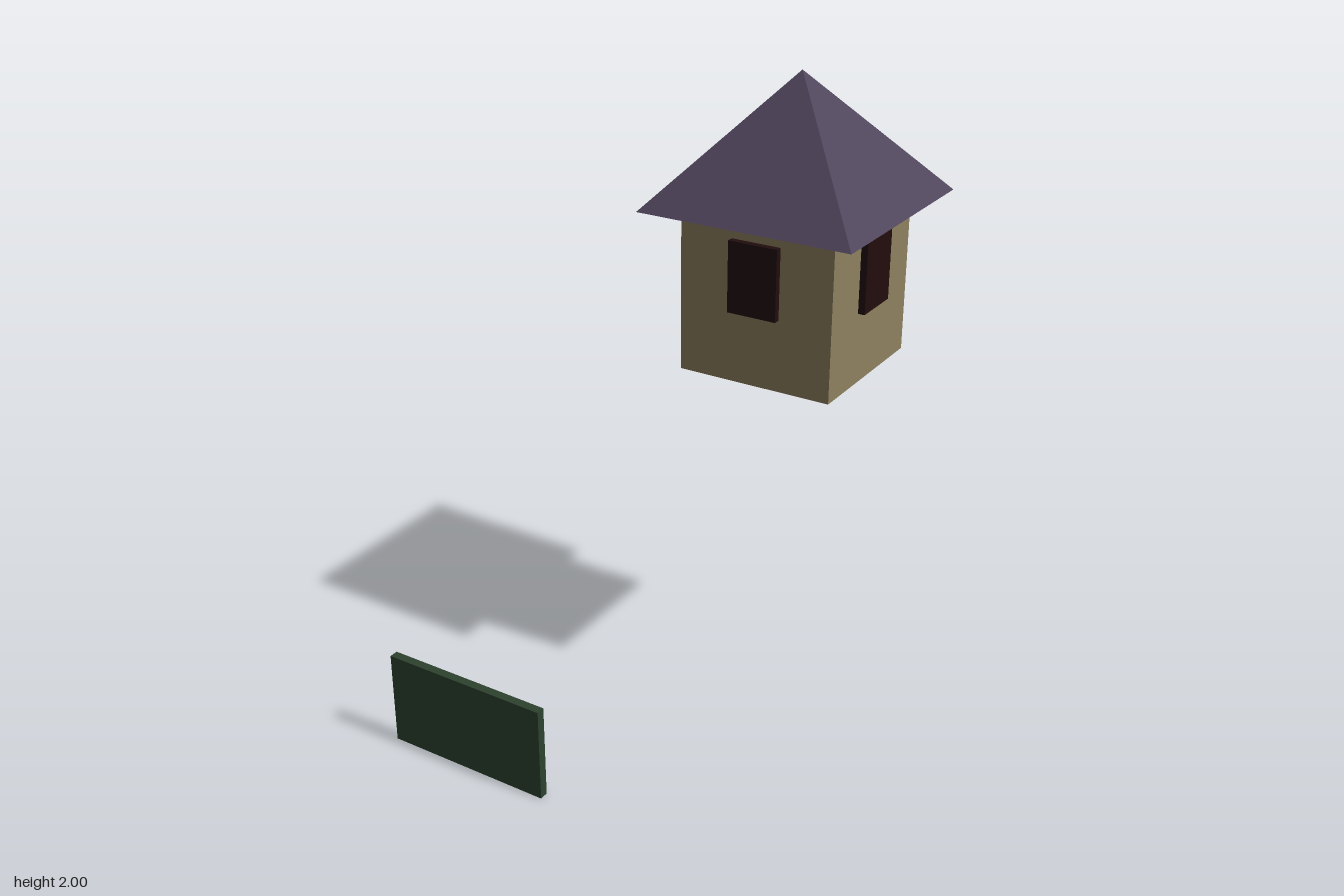
import * as THREE from 'three';

const material = (name, color) => {
  const m = new THREE.MeshStandardMaterial({ color });
  m.name = name;
  return m;
};

export function createModel() {
  const wall = material('tan wall', 0x8e8060);
  const roofPurple = material('purple roof', 0x50465c);
  const eaveGrey = material('grey eave underside', 0x5f6563);
  const shutter = material('dark red window', 0x220d0e);
  const green = material('dark green board', 0x2d422f);

  const model = new THREE.Group();
  model.name = 'houseAndBoard';

  const add = (parent, name, geometry, mat, x, y, z) => {
    const mesh = new THREE.Mesh(geometry, mat);
    mesh.name = name;
    mesh.position.set(x, y, z);
    parent.add(mesh);
    return mesh;
  };

  // Raised house, built around its own vertical axis
  const house = new THREE.Group();
  house.name = 'house';
  house.position.set(0.237, 0, -0.327);
  model.add(house);

  const width = 0.496;
  add(house, 'walls', new THREE.BoxGeometry(width, 0.5, width), wall, 0, 1.365, 0);

  // Pyramid roof with a separately coloured underside
  const roof = new THREE.ConeGeometry(0.3425 * Math.SQRT2, 0.385, 4, 1).toNonIndexed();
  roof.rotateY(Math.PI / 4);
  roof.computeVertexNormals();
  add(house, 'roof', roof, [roofPurple, roofPurple, eaveGrey], 0, 1.8075, 0);

  // One protruding window on each wall
  const windowGeometry = new THREE.BoxGeometry(0.158, 0.219, 0.042);
  for (let i = 0; i < 4; i++) {
    const angle = (i * Math.PI) / 2;
    const pane = add(house, 'window', windowGeometry, shutter,
      Math.sin(angle) * width / 2, 1.447, Math.cos(angle) * width / 2);
    pane.rotation.y = angle;
  }

  // Upright board standing on the ground
  add(model, 'board', new THREE.BoxGeometry(0.553, 0.305, 0.028), green, -0.306, 0.1525, 0.656);

  return model;
}
